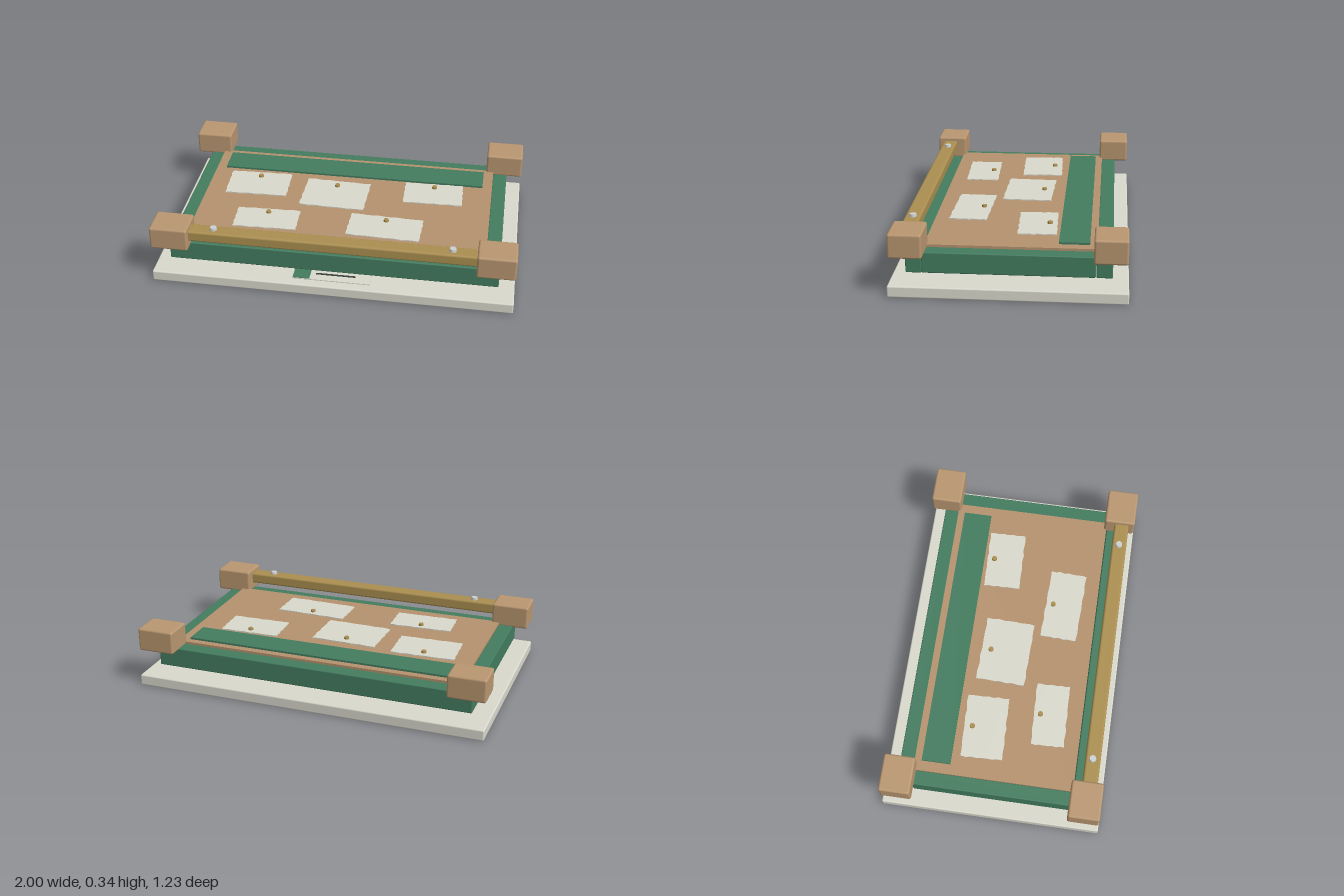
import * as THREE from 'three';
import { RoundedBoxGeometry } from 'three/addons/geometries/RoundedBoxGeometry.js';

const paint = (name, color) => {
  const m = new THREE.MeshStandardMaterial({ color });
  m.name = name;
  return m;
};

export function createModel() {
  const model = new THREE.Group();
  model.name = 'noticeBoard';
  const cream = paint('cream', 0xd9d9cd);
  const green = paint('green', 0x437c5f);
  const cork = paint('cork', 0xb5926e);
  const wood = paint('wood', 0xb99670);
  const brass = paint('brass', 0xab8f50);
  const silver = paint('silver', 0xcdd0d2);
  const ink = paint('ink', 0x35403a);

  const add = (name, geometry, material, x, y, z) => {
    const mesh = new THREE.Mesh(geometry, material);
    mesh.name = name;
    mesh.position.set(x, y, z);
    model.add(mesh);
    return mesh;
  };
  // Box given by its limits on each axis, with softened edges when r > 0
  const box = (name, material, [x0, x1], [y0, y1], [z0, z1], r = 0) => {
    const size = [x1 - x0, y1 - y0, z1 - z0];
    const geometry = r ? new RoundedBoxGeometry(...size, 2, r) : new THREE.BoxGeometry(...size);
    return add(name, geometry, material, (x0 + x1) / 2, (y0 + y1) / 2, (z0 + z1) / 2);
  };
  const disc = (name, material, r, h, x, y, z) =>
    add(name, new THREE.CylinderGeometry(r * 0.9, r, h, 20), material, x, y + h / 2, z);

  // Backing slab and cork panel
  box('backingSlab', cream, [-1, 1], [0, 0.062], [-0.617, 0.617], 0.008);
  box('corkPanel', cork, [-0.832, 0.832], [0.14, 0.232], [-0.452, 0.447]);

  // Green frame and corner blocks
  for (const s of [-1, 1]) {
    const span = (a, b) => (s > 0 ? [a, b] : [-b, -a]);
    box('longFrameRail', green, [-0.912, 0.912], [0.105, 0.219], span(0.449, 0.533), 0.006);
    box('shortFrameRail', green, span(0.83, 0.912), [0.105, 0.219], [-0.446, 0.449], 0.006);
    for (const t of [-1, 1]) {
      const z = t > 0 ? [0.432, 0.608] : [-0.61, -0.436];
      box('cornerBlock', wood, span(0.788, 0.999), [0.212, 0.344], z, 0.012);
    }
    disc('railScrew', silver, 0.02, 0.016, s * 0.655, 0.32, 0.53);
  }

  // Front brass rail and header strip
  box('brassRail', brass, [-0.8, 0.8], [0.257, 0.321], [0.49, 0.575], 0.012);
  box('headerStrip', green, [-0.775, 0.775], [0.231, 0.243], [-0.412, -0.25]);

  // Rough-edged paper note
  const noteGeometry = (w, d, seed) => {
    const corners = [[-w / 2, -d / 2], [w / 2, -d / 2], [w / 2, d / 2], [-w / 2, d / 2]];
    const points = [];
    corners.forEach(([ax, ay], i) => {
      const [bx, by] = corners[(i + 1) % 4];
      for (let k = 0; k < 8; k++) {
        const t = k / 8;
        const j = 0.003 * Math.sin((i * 8 + k) * 2.7 + seed * 1.9);
        points.push(new THREE.Vector2(
          ax + (bx - ax) * t + (i % 2 ? j : 0),
          ay + (by - ay) * t + (i % 2 ? 0 : j)));
      }
    });
    const geometry = new THREE.ExtrudeGeometry(new THREE.Shape(points), { depth: 0.006, bevelEnabled: false });
    return geometry.rotateX(-Math.PI / 2);
  };

  // Notes: centre x, z, width, depth, turn, pin x, pin z
  const notes = [
    [-0.538, -0.09, 0.36, 0.235, 0.03, -0.54, -0.162],
    [-0.072, -0.04, 0.375, 0.277, -0.03, -0.072, -0.125],
    [0.495, -0.126, 0.34, 0.208, 0.025, 0.497, -0.19],
    [-0.417, 0.266, 0.358, 0.187, 0.03, -0.417, 0.209],
    [0.256, 0.256, 0.412, 0.207, -0.035, 0.257, 0.194],
  ];
  notes.forEach(([x, z, w, d, turn, px, pz], i) => {
    add('paperNote', noteGeometry(w, d, i), cream, x, 0.238, z).rotation.y = turn;
    disc('pin', brass, 0.015, 0.013, px, 0.243, pz);
  });

  // Small label plate on the slab, with a green tab and plain ruled bars
  box('labelPlate', cream, [-0.215, 0.215], [0.07, 0.075], [0.382, 0.574]);
  box('labelTab', green, [-0.213, -0.12], [0.0745, 0.078], [0.385, 0.571]);
  for (const z of [0.44, 0.48, 0.52]) {
    box('labelBar', ink, [-0.09, 0.13], [0.0745, 0.077], [z - 0.006, z + 0.006]);
  }

  return model;
}
